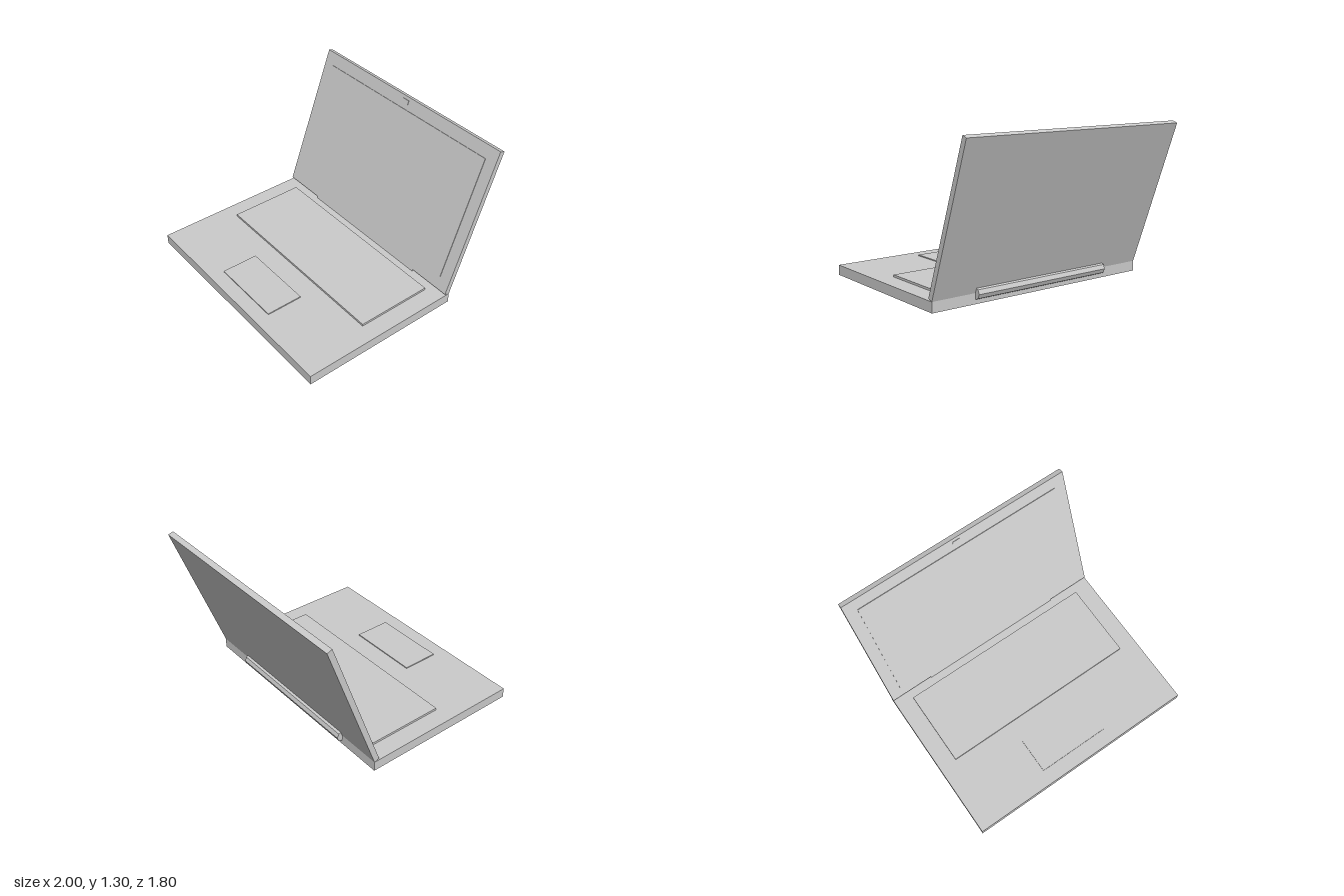
import * as THREE from 'three';

const grey = new THREE.MeshStandardMaterial({ color: 0xcccccc, flatShading: true });

// Box given by its extents along each axis
function block(name, [x0, x1], [y0, y1], [z0, z1]) {
  const mesh = new THREE.Mesh(new THREE.BoxGeometry(x1 - x0, y1 - y0, z1 - z0), grey);
  mesh.name = name;
  mesh.position.set((x0 + x1) / 2, (y0 + y1) / 2, (z0 + z1) / 2);
  return mesh;
}

export function createModel() {
  const laptop = new THREE.Group();
  laptop.name = 'laptop';
  const deckTop = 0.113, backZ = -0.475;

  // Base with raised keyboard and touchpad
  laptop.add(
    block('base', [-1, 1], [0.03, deckTop], [backZ, 0.9]),
    block('keyboard', [-0.85, 0.85], [0.1, 0.131], [-0.36, 0.287]),
    block('touchpad', [-0.31, 0.31], [0.1, 0.122], [0.467, 0.777])
  );

  // Four feet
  for (const x of [-0.813, 0.813]) {
    for (const z of [-0.285, 0.718]) {
      laptop.add(block('foot', [x - 0.05, x + 0.05], [0, 0.035], [z - 0.05, z + 0.05]));
    }
  }

  // Octagonal hinge barrel along the back edge
  const hinge = new THREE.Mesh(new THREE.CylinderGeometry(0.047, 0.047, 1.25, 8), grey);
  hinge.name = 'hinge';
  hinge.rotation.z = Math.PI / 2;
  hinge.position.set(0, 0.111, backZ);
  laptop.add(hinge);

  // Lid leaning back 20 degrees about the rear top edge of the base
  const lid = new THREE.Group();
  lid.name = 'lid';
  const thick = 0.046;
  lid.add(
    block('lidPanel', [-1, 1], [0, 1.249], [0, thick]),
    block('screen', [-0.9, 0.9], [0.105, 1.143], [0.03, thick + 0.005]),
    block('camera', [-0.032, 0.032], [1.186, 1.222], [0.03, thick + 0.004])
  );
  lid.position.set(0, deckTop, backZ);
  lid.rotation.x = -THREE.MathUtils.degToRad(20);
  laptop.add(lid);

  return laptop;
}
